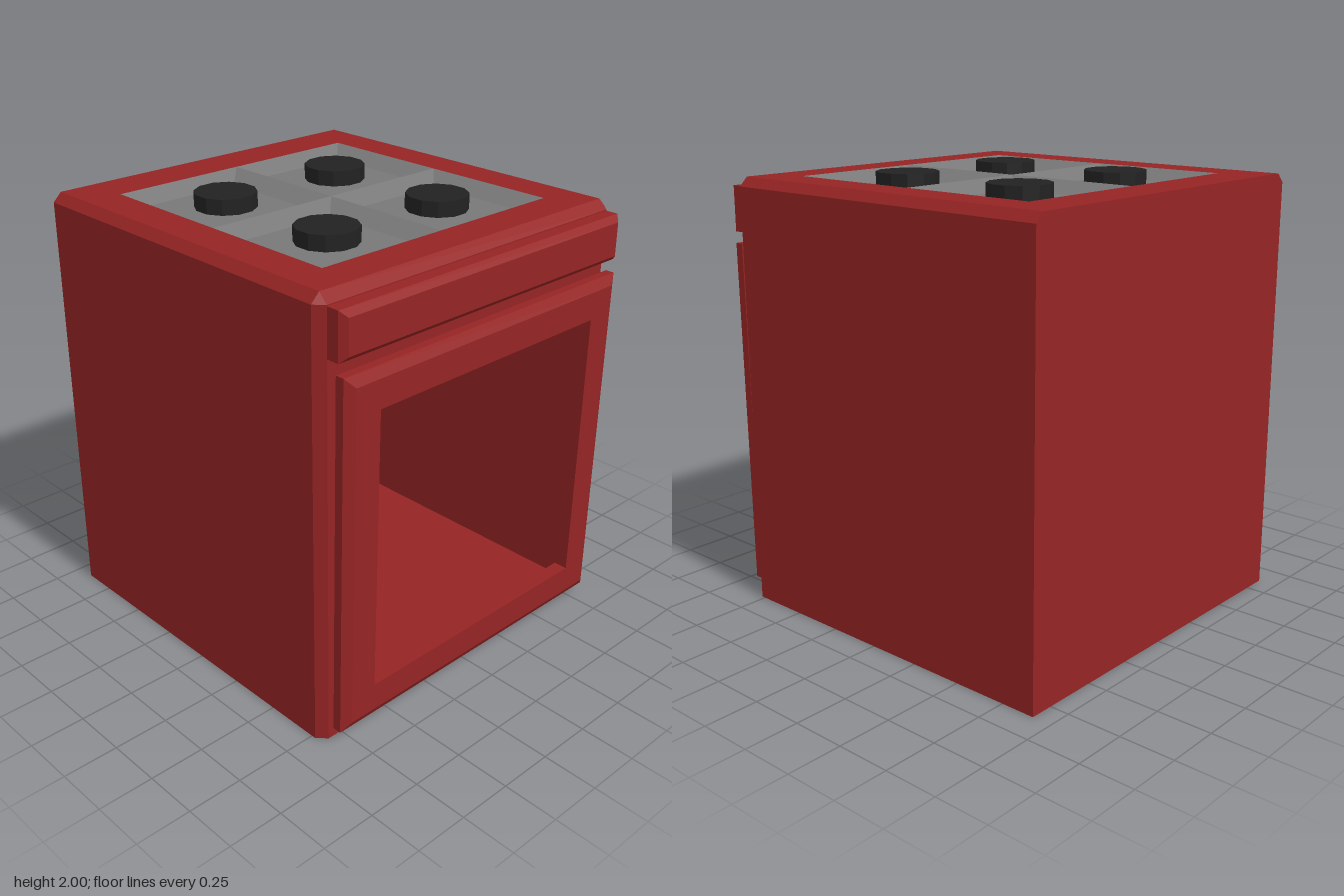
import * as THREE from 'three';

const red = new THREE.MeshStandardMaterial({ color: 0x962424, flatShading: true, side: THREE.DoubleSide });
red.name = 'red enamel';
const grey = new THREE.MeshStandardMaterial({ color: 0x787878, flatShading: true, side: THREE.DoubleSide });
grey.name = 'grey steel';
const black = new THREE.MeshStandardMaterial({ color: 0x222222, flatShading: true });
black.name = 'black iron';

// Joins successive closed loops of [x, y, z] points with flat faces
function loft(loops, { cap = false, skip = () => false } = {}) {
  const out = [];
  const tri = (...pts) => pts.forEach((p) => out.push(...p));
  for (let k = 0; k < loops.length - 1; k++) {
    const a = loops[k], b = loops[k + 1], n = a.length;
    for (let i = 0; i < n; i++) {
      if (skip(k, i)) continue;
      const j = (i + 1) % n;
      tri(a[i], b[i], b[j]);
      tri(a[i], b[j], a[j]);
    }
  }
  if (cap) {
    const e = loops[loops.length - 1];
    for (let i = 1; i < e.length - 1; i++) tri(e[0], e[i + 1], e[i]);
  }
  const g = new THREE.BufferGeometry();
  g.setAttribute('position', new THREE.Float32BufferAttribute(out, 3));
  g.computeVertexNormals();
  return g;
}

// Upright rectangle facing +x
const rectX = (x, z, y0, y1) => [[x, y0, z], [x, y1, z], [x, y1, -z], [x, y0, -z]];
// Level square facing +y
const rectY = (y, cx, cz, h) =>
  [[1, 1], [-1, 1], [-1, -1], [1, -1]].map(([a, b]) => [cx + a * h, y, cz + b * h]);

// Flat rectangle with a rectangular hole, in the XY plane
function framePlate(x0, x1, y0, y1, hx0, hx1, hy0, hy1) {
  const box = (C, a, b, c, d) => {
    const s = new C();
    s.moveTo(a, c); s.lineTo(b, c); s.lineTo(b, d); s.lineTo(a, d); s.closePath();
    return s;
  };
  const shape = box(THREE.Shape, x0, x1, y0, y1);
  shape.holes.push(box(THREE.Path, hx0, hx1, hy0, hy1));
  return new THREE.ShapeGeometry(shape);
}

export function createModel() {
  const model = new THREE.Group();
  model.name = 'stove';
  const add = (name, geometry, material, parent = model) => {
    const mesh = new THREE.Mesh(geometry, material);
    mesh.name = name;
    parent.add(mesh);
    return mesh;
  };

  // Hollow body with chamfered top and oven-side edges
  const body = new THREE.Group();
  body.name = 'body';
  model.add(body);
  const W = 0.86, V = 0.82, H = 1.98, S = 1.94;
  const full = [[W, 0], [W, S], [V, H], [-V, H], [-W, S], [-W, 0]];
  const small = [[V, 0], [V, S], [V, S], [-V, S], [-V, S], [-V, 0]];
  const at = (x, pts) => pts.map(([z, y]) => [x, y, z]);
  add('bodyShell', loft([at(-0.91, full), at(0.77, full), at(0.81, small)],
    { skip: (k, i) => k === 0 && i === 2 }), red, body);
  const back = new THREE.ShapeGeometry(new THREE.Shape(full.map(([z, y]) => new THREE.Vector2(z, y))));
  add('backPanel', back.rotateY(-Math.PI / 2).translate(-0.91, 0, 0), red, body);
  add('topPanel', framePlate(-0.91, 0.77, -V, V, -0.7, 0.6, -0.65, 0.65)
    .rotateX(-Math.PI / 2).translate(0, H, 0), red, body);
  add('ovenFrame', framePlate(-V, V, 0, S, -0.7, 0.7, 0.16, 1.57)
    .rotateY(Math.PI / 2).translate(0.81, 0, 0), red, body);

  // Four sunken wells, each with a burner
  for (const x of [-0.375, 0.275]) {
    for (const z of [-0.325, 0.325]) {
      add('burnerWell', loft([rectY(H, x, z, 0.325), rectY(1.93, x, z, 0.237)], { cap: true }), grey);
      const burner = new THREE.CylinderGeometry(0.14, 0.14, 0.09, 12).rotateY(Math.PI / 12);
      add('burner', burner, black).position.set(x, 1.955, z);
    }
  }

  // Control panel above the door
  add('controlPanel', loft([rectX(0.805, 0.82, 1.73, 1.935), rectX(0.868, 0.82, 1.73, 1.935),
    rectX(0.895, 0.793, 1.757, 1.908)], { cap: true }), red);

  // Oven door: chamfered frame around an open window, leaning slightly outwards
  const hole = (x) => rectX(x, 0.64, 0.23, 1.505);
  const door = loft([hole(0.828), rectX(0.828, 0.81, 0.06, 1.675), rectX(0.868, 0.81, 0.06, 1.675),
    rectX(0.893, 0.767, 0.103, 1.632), hole(0.893), hole(0.828)]);
  const p = door.attributes.position;
  for (let i = 0; i < p.count; i++) p.setX(i, p.getX(i) + 0.01 * p.getY(i));
  door.computeVertexNormals();
  add('ovenDoor', door, red);

  // Small shelf supports at the back of the oven
  for (const y of [0.413, 0.793, 1.173]) {
    for (const s of [-1, 1]) {
      add('shelfSupport', new THREE.BoxGeometry(0.04, 0.025, 0.05), red).position.set(-0.89, y, s * 0.64);
    }
  }
  return model;
}
